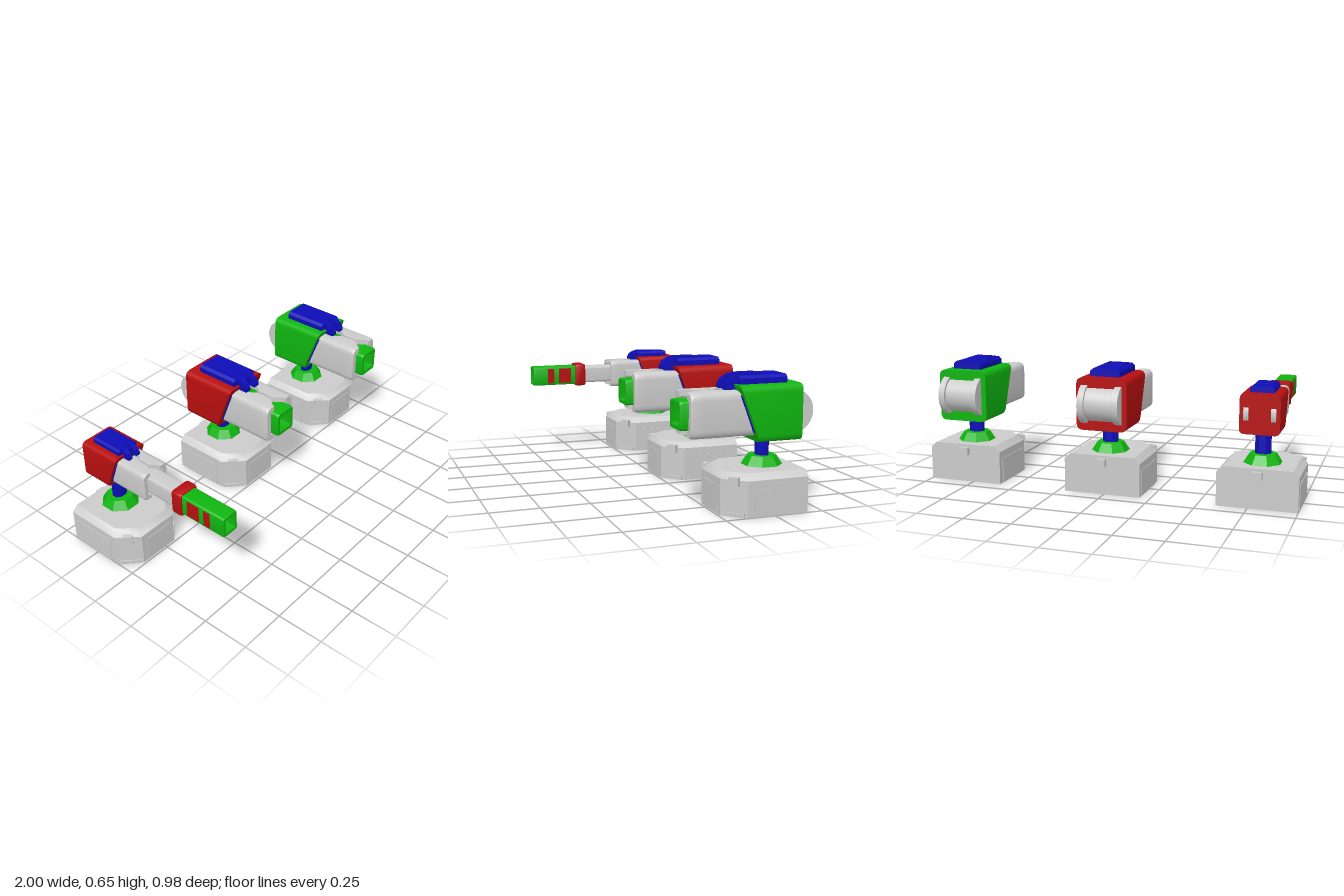
import * as THREE from 'three';
import { toCreasedNormals } from 'three/addons/utils/BufferGeometryUtils.js';

const grey = new THREE.MeshStandardMaterial({ color: 0xcccccc });
const paint = (color) => new THREE.MeshStandardMaterial({ color });
const green = paint(0x0fb50f), red = paint(0xb80f0f), blue = paint(0x0d0db8);

function add(parent, name, geometry, material, x = 0, y = 0, z = 0) {
  const mesh = new THREE.Mesh(geometry, material);
  mesh.name = name;
  mesh.position.set(x, y, z);
  parent.add(mesh);
  return mesh;
}

const box = (w, h, d) => new THREE.BoxGeometry(w, h, d);
const poly = (pts) => new THREE.Shape(pts.map(([x, y]) => new THREE.Vector2(x, y)));

// rectangle with rounded corners, given by half sizes
function roundRect(a, b, r, Type = THREE.Shape) {
  const s = new Type();
  s.moveTo(-a + r, -b).lineTo(a - r, -b).quadraticCurveTo(a, -b, a, -b + r);
  s.lineTo(a, b - r).quadraticCurveTo(a, b, a - r, b);
  s.lineTo(-a + r, b).quadraticCurveTo(-a, b, -a, b - r);
  s.lineTo(-a, -b + r).quadraticCurveTo(-a, -b, -a + r, -b);
  return s;
}

// sweep a section through n levels; rule(x, y, level) returns the new vertex
function loft(shape, levels, rule) {
  const n = levels - 1;
  const geo = new THREE.ExtrudeGeometry(shape, { depth: n, steps: n, bevelEnabled: false, curveSegments: 4 });
  const p = geo.attributes.position;
  for (let i = 0; i < p.count; i++) p.setXYZ(i, ...rule(p.getX(i), p.getY(i), Math.round(p.getZ(i))));
  return toCreasedNormals(geo, 0.6);
}
// sweep through [z, scale] stations
const sweep = (shape, st) => loft(shape, st.length, (x, y, k) => [x * st[k][1], y * st[k][1], st[k][0]]);

// side profile (z, y) given a width along x
function sideProfile(pts, width) {
  const geo = new THREE.ExtrudeGeometry(poly(pts), { depth: width, bevelEnabled: false });
  return geo.translate(0, 0, -width / 2).rotateY(-Math.PI / 2);
}

function tube(a, b, r, wall, stations) {
  const s = roundRect(a, b, r);
  s.holes.push(roundRect(a - wall, b - wall, r * 0.6, THREE.Path));
  return sweep(s, stations);
}

function makeBase() {
  const g = new THREE.Group();
  g.name = 'base';
  const outline = (t) => [[-0.204 + t, 0.42 - t], [-0.204 + t, 0.11 + t / 2], [-0.11 + t / 2, 0.01 + t],
    [0.11 - t / 2, 0.01 + t], [0.204 - t, 0.11 + t / 2], [0.204 - t, 0.42 - t]];
  // hollow walls
  const walls = poly(outline(0));
  walls.holes.push(poly(outline(0.03)));
  const up = (y) => (x, v, k) => [x, y[k], -v];
  add(g, 'baseWalls', loft(walls, 2, up([0, 0.175])), grey);
  // roof with sloped front and side edges
  add(g, 'baseRoof', loft(poly(outline(0)), 3, (x, v, k) => {
    const s = k === 2 ? 0.85 : 1;
    return [x * s, [0.14, 0.175, 0.205][k], -(0.42 + (v - 0.42) * (k === 2 ? 0.925 : 1))];
  }), grey);
  add(g, 'pivotHub', new THREE.CylinderGeometry(0.08, 0.08, 0.03, 8), grey, 0, 0.128, -0.27);
  // panels
  add(g, 'frontPanel', box(0.16, 0.13, 0.006), grey, 0, 0.075, -0.01);
  for (const s of [-1, 1]) {
    add(g, 'sidePanel', box(0.006, 0.135, 0.24), grey, s * 0.204, 0.068, -0.265);
    const angle = s * Math.atan2(0.094, 0.1);
    add(g, 'cornerClip', box(0.05, 0.042, 0.026), grey, s * 0.163, 0.17, -0.055).rotation.y = angle;
    add(g, 'cornerFoot', box(0.105, 0.02, 0.012), grey, s * 0.157, 0.01, -0.06).rotation.y = angle;
  }
  add(g, 'rearLatch', box(0.05, 0.042, 0.03), grey, 0, 0.17, -0.427);
  // swivel collar and post
  const collar = new THREE.CylinderGeometry(0.07, 0.1, 0.046, 8).rotateY(Math.PI / 8);
  add(g, 'collar', toCreasedNormals(collar, 0.3), green, 0, 0.228, -0.275);
  const post = new THREE.CylinderGeometry(0.042, 0.042, 0.18, 8).rotateY(Math.PI / 8).scale(1, 1, 0.78);
  add(g, 'post', toCreasedNormals(post, 0.3), blue, 0, 0.33, -0.275);
  return g;
}

// gun body, centred on y = 0
function makeGun(housingMaterial, capShift) {
  const g = new THREE.Group();
  g.name = 'gun';
  // housing with a raked front
  const rake = (y) => -0.1 + Math.min(0, y - 0.13) * 0.375;
  add(g, 'housing', loft(roundRect(0.135, 0.136, 0.035), 2, (x, y, k) => [x, y, k ? rake(y) : -0.42]), housingMaterial);
  add(g, 'innerFrame', loft(roundRect(0.113, 0.09, 0.01), 2, (x, y, k) => [x, y, k ? rake(y) + 0.006 : -0.3]), blue);

  // split barrel sleeve: two C-shaped shells with a notched seam
  const half = new THREE.Shape();
  half.moveTo(0, -0.108).lineTo(0.07, -0.108).quadraticCurveTo(0.107, -0.108, 0.107, -0.07);
  half.lineTo(0.107, 0.07).quadraticCurveTo(0.107, 0.108, 0.07, 0.108).lineTo(0, 0.108);
  half.lineTo(0, 0.078).lineTo(0.06, 0.078).quadraticCurveTo(0.077, 0.078, 0.077, 0.06);
  half.lineTo(0.077, -0.06).quadraticCurveTo(0.077, -0.078, 0.06, -0.078).lineTo(0, -0.078);
  const st = [[-0.3, 0.04, 1], [-0.06, 0.04, 1], [-0.01, 0.006, 1], [0.075, 0.006, 1], [0.122, 0.045, 1], [0.135, 0.05, 0.95]];
  for (const turn of [0, Math.PI]) {
    const shell = loft(half, st.length, (x, y, k) => {
      const [z, gap, s] = st[k];
      // the second shell is turned about z, so both stay outward-facing
      return [(x < 0.001 ? gap : x) * s, y * s, z];
    });
    add(g, 'sleeveHalf', shell, grey).rotation.z = turn;
  }

  // rear drum with end flanges
  const drum = (r, w) => new THREE.CylinderGeometry(r, r, w, 32).rotateZ(Math.PI / 2);
  add(g, 'rearDrum', toCreasedNormals(drum(0.092, 0.15), 0.5), grey, 0, 0, -0.385 + capShift);
  for (const s of [-1, 1])
    add(g, 'drumFlange', toCreasedNormals(drum(0.105, 0.034), 0.5), grey, s * 0.091, 0, -0.385 + capShift);

  // top fin with a forked curved nose
  const finSection = poly([[-0.08, 0.12], [0.08, 0.12], [0.08, 0.163], [0.066, 0.176], [-0.066, 0.176], [-0.08, 0.163]]);
  add(g, 'topFin', sweep(finSection, [[-0.362, 1], [-0.115, 1]]), blue);
  add(g, 'finPlate', box(0.11, 0.006, 0.11), blue, 0, 0.178, -0.19);
  const prong = [[-0.14, 0.12], [-0.1, 0.11], [-0.055, 0.11], [-0.055, 0.128], [-0.07, 0.154], [-0.1, 0.173], [-0.14, 0.18]];
  for (const s of [-1, 1]) add(g, 'finProng', sideProfile(prong, 0.034), blue, s * 0.034);
  add(g, 'prongBridge', box(0.05, 0.035, 0.03), blue, 0, 0.15, -0.105);
  return g;
}

// short open muzzle
function addShortMuzzle(g) {
  add(g, 'muzzle', tube(0.066, 0.07, 0.02, 0.018, [[-0.25, 1], [0.165, 1], [0.175, 0.94]]), green);
  add(g, 'muzzleBack', box(0.11, 0.12, 0.01), green, 0, 0, 0.03);
  add(g, 'innerCore', sweep(roundRect(0.076, 0.077, 0.02), [[-0.25, 1], [0.09, 1]]), green).scale.z = 0.1;
}

// long slim barrel with a ring and inset bands
function addLongBarrel(g) {
  add(g, 'barrelTube', sweep(roundRect(0.044, 0.05, 0.015), [[-0.25, 1], [0.18, 1]]), grey);
  add(g, 'barrelRing', sweep(roundRect(0.058, 0.066, 0.016), [[0.17, 0.94], [0.178, 1], [0.222, 1], [0.23, 0.94]]), red);
  add(g, 'barrelEnd', tube(0.047, 0.056, 0.012, 0.013, [[0.22, 1], [0.482, 1], [0.49, 0.96]]), green);
  add(g, 'barrelBack', box(0.075, 0.09, 0.01), green, 0, 0, 0.4);
  for (const [z, d] of [[0.298, 0.075], [0.385, 0.04]])
    for (const s of [-1, 1]) add(g, 'barrelBand', box(0.006, 0.088, d), red, s * 0.0455, 0, z);
}

export function createModel() {
  const model = new THREE.Group();
  model.name = 'turretSet';
  const variants = [
    { name: 'longBarrelTurret', x: -0.796, housing: red, long: true },
    { name: 'middleTurret', x: 0.01, housing: red },
    { name: 'endTurret', x: 0.794, housing: green },
  ];
  for (const v of variants) {
    const turret = new THREE.Group();
    turret.name = v.name;
    turret.position.x = v.x;
    turret.add(makeBase());
    const gun = makeGun(v.housing, v.long ? 0.06 : 0);
    gun.position.set(0, 0.47, v.long ? -0.092 : 0);
    if (v.long) {
      gun.scale.setScalar(0.74);
      const barrel = new THREE.Group();
      barrel.name = 'longBarrel';
      barrel.position.y = 0.47;
      addLongBarrel(barrel);
      turret.add(barrel);
    } else addShortMuzzle(gun);
    turret.add(gun);
    model.add(turret);
  }
  return model;
}
